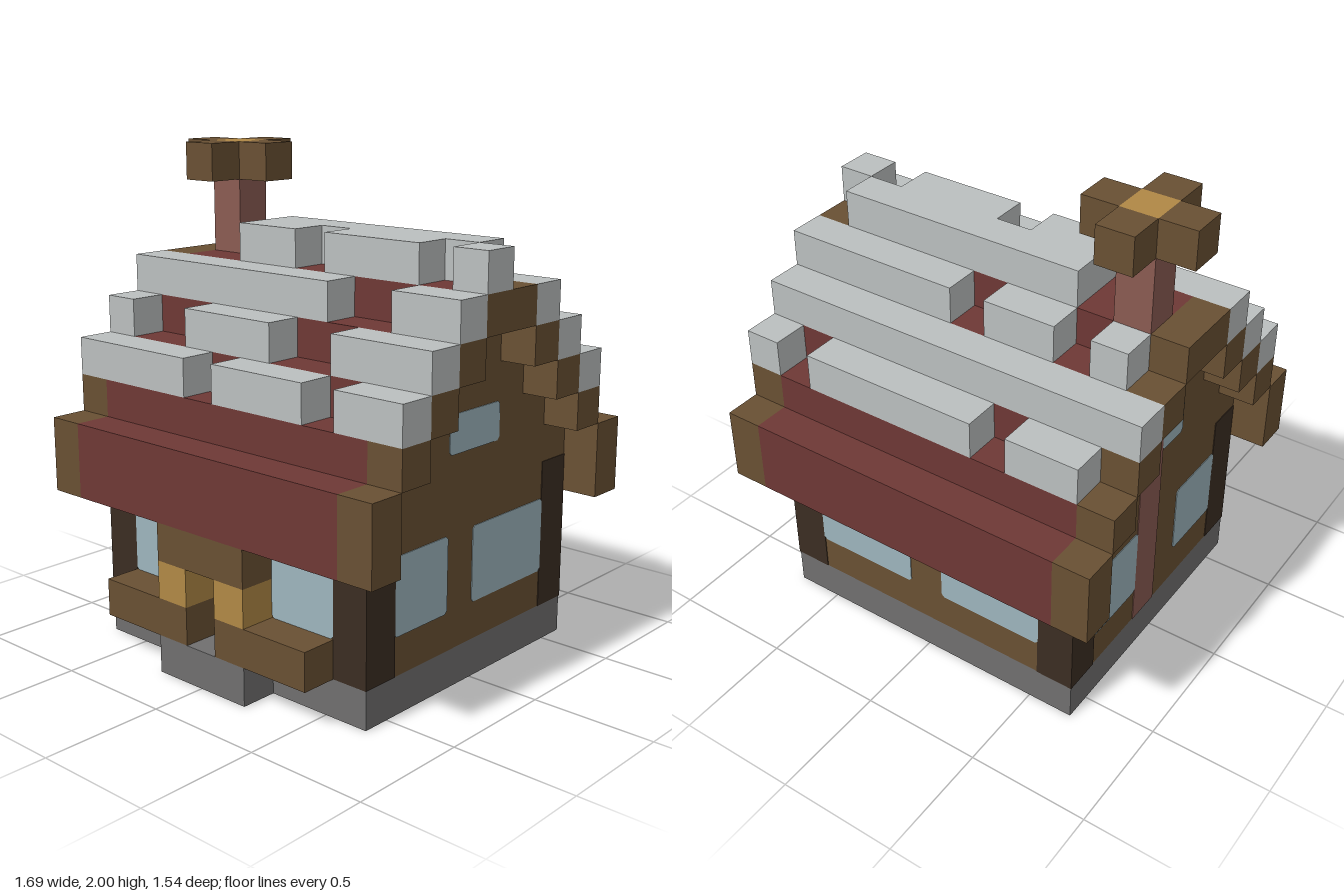
import * as THREE from 'three';

const U = 2 / 13; // edge of one building block
const X = i => (i - 5.5) * U, Y = j => j * U, Z = k => (k - 5) * U;

const material = (name, color) => {
  const m = new THREE.MeshStandardMaterial({ color });
  m.name = name;
  return m;
};

export function createModel() {
  const model = new THREE.Group();
  model.name = 'cottage';
  const snow = material('snow', 0xbbbfbf);
  const roofRed = material('roof red', 0x6e3835);
  const wood = material('brown wood', 0x695033);
  const straw = material('straw', 0xb08845);
  const glass = material('glass', 0x9db5bd);
  const darkWood = material('dark wood', 0x3b2d22);
  const stone = material('stone', 0x706f6f);
  const brick = material('brick', 0x8a5b52);

  // Box between block coordinates [from, to) on each axis, optionally grown a little
  function block(name, mat, [i0, i1], [j0, j1], [k0, k1], grow = 0) {
    const g = new THREE.BoxGeometry(
      (i1 - i0) * U + 2 * grow, (j1 - j0) * U, (k1 - k0) * U + 2 * grow);
    const mesh = new THREE.Mesh(g, mat);
    mesh.position.set((X(i0) + X(i1)) / 2, (Y(j0) + Y(j1)) / 2, (Z(k0) + Z(k1)) / 2);
    mesh.name = name;
    model.add(mesh);
    return mesh;
  }

  // Thin window pane with clipped corners, w by h blocks, turned by angle about y
  function pane(w, h, x, y, z, angle) {
    const a = w * U / 2, b = h * U / 2, c = 0.012;
    const s = new THREE.Shape([[-a + c, -b], [a - c, -b], [a, -b + c], [a, b - c],
      [a - c, b], [-a + c, b], [-a, b - c], [-a, -b + c]].map(p => new THREE.Vector2(...p)));
    const mesh = new THREE.Mesh(
      new THREE.ExtrudeGeometry(s, { depth: 0.003, bevelEnabled: false }), glass);
    mesh.position.set(x, y, z);
    mesh.rotation.y = angle;
    mesh.name = 'window';
    model.add(mesh);
  }

  // Stone foundation ring, wooden floor and front step
  for (const k of [1, 8]) block('foundation', stone, [1, 10], [0, 1], [k, k + 1]);
  for (const i of [1, 9]) block('foundation', stone, [i, i + 1], [0, 1], [2, 8]);
  block('floor', wood, [2, 9], [0, 1], [2, 8]);
  block('frontStep', stone, [4, 7], [0, 1], [9, 10]);

  // Walls and stepped gables
  block('walls', wood, [1, 10], [1, 6], [1, 9]);
  for (let s = 1; s <= 3; s++) block('gable', wood, [1, 10], [5 + s, 6 + s], [1 + s, 9 - s]);

  // Corner posts
  for (const i of [1, 9]) for (const k of [1, 8])
    block('cornerPost', darkWood, [i, i + 1], [1, 5], [k, k + 1], 0.003);

  // Front and back windows
  for (const side of [-1, 1]) {
    pane(2, 2, side * 2.5 * U, Y(3), Z(9), 0);
    pane(3, 2, side * 2 * U, Y(3), Z(1), Math.PI);
  }
  // Side windows: [first k, last k, bottom j, top j]
  const sideWindows = (x, angle, list) => {
    for (const [k0, k1, j0, j1] of list)
      pane(k1 - k0, j1 - j0, x, Y((j0 + j1) / 2), Z((k0 + k1) / 2), angle);
  };
  sideWindows(X(10), Math.PI / 2, [[2, 5, 2, 4], [6, 8, 2, 4], [4, 6, 6, 7]]);
  sideWindows(X(1), -Math.PI / 2, [[2, 4, 2, 4], [6, 8, 2, 4], [5, 6, 6, 7]]);

  // Planters, straw blocks and lintel around the doorway
  for (const i of [2, 6]) block('planter', wood, [i, i + 3], [1, 2], [9, 10]);
  for (const i of [4, 6]) block('strawBlock', straw, [i, i + 1], [2, 3], [9, 10]);
  block('doorLintel', wood, [4, 7], [3, 4], [9, 10]);

  // Roof courses: red in the middle, wooden edge at both ends
  function course(j, k) {
    block('roofCourse', roofRed, [1, 10], j, k);
    for (const i of [0, 10]) block('roofEdge', wood, [i, i + 1], j, k);
  }
  for (const k of [0, 9]) course([4, 6], [k, k + 1]);
  for (let s = 1; s <= 3; s++) for (const k of [s, 9 - s]) course([5 + s, 6 + s], [k, k + 1]);
  course([9, 10], [4, 6]);

  // Snow on each course, from right to left; '#' is snow, '.' is bare roof
  const snowRows = [
    [1, 7, '.##.#####.#'],
    [2, 8, '###########'],
    [3, 9, '.#.##.#####'],
    [4, 10, '...#######.'],
    [5, 10, '...##.###.#'],
    [6, 9, '#######..##'],
    [7, 8, '#..###..###'],
    [8, 7, '####.###.##'],
  ];
  for (const [k, j, row] of snowRows)
    for (const run of row.matchAll(/#+/g))
      block('snow', snow, [run.index, run.index + run[0].length], [j, j + 1], [k, k + 1]);

  // Chimney, set into the side wall, with a cross-shaped cap
  block('chimneyBase', brick, [1, 2], [1, 9], [4, 5], 0.003);
  block('chimney', brick, [1, 2], [10, 12], [4, 5]);
  block('chimneyCapCentre', straw, [1, 2], [12, 13], [4, 5]);
  for (const [i, k] of [[0, 4], [2, 4], [1, 3], [1, 5]])
    block('chimneyCapArm', wood, [i, i + 1], [12, 13], [k, k + 1]);

  return model;
}
